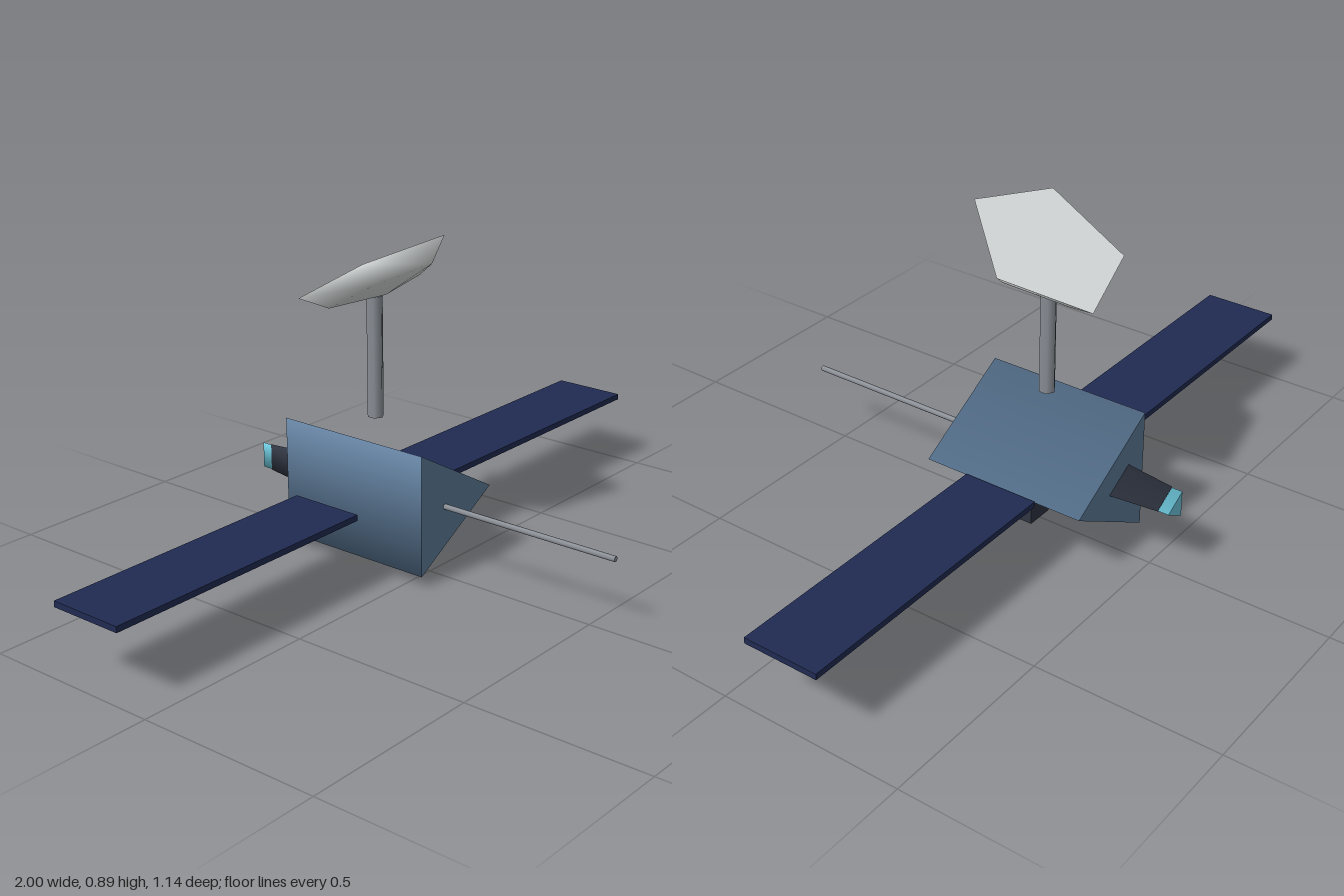
import * as THREE from 'three';

const mat = (name, color) => {
  const m = new THREE.MeshStandardMaterial({ color });
  m.name = name;
  return m;
};

export function createModel() {
  const group = new THREE.Group();
  const hull = mat('hull blue', 0x5f7d9c);
  const navy = mat('panel navy', 0x202b52);
  const white = mat('dish white', 0xdfe3e3);
  const dark = mat('dark slate', 0x2f3542);
  const cyan = mat('glow cyan', 0x6fcbe0);
  const metal = mat('metal grey', 0x8b9097);

  const midY = 0.195, midZ = -0.18;

  const add = (name, geometry, material, x, y, z) => {
    const mesh = new THREE.Mesh(geometry, material);
    mesh.name = name;
    mesh.position.set(x, y, z);
    group.add(mesh);
    return mesh;
  };

  // Cylinder lying along z from zBack to zFront, one corner towards +x
  const along = (name, rFront, rBack, zBack, zFront, sides, material) => {
    const g = new THREE.CylinderGeometry(rFront, rBack, zFront - zBack, sides);
    g.rotateX(Math.PI / 2).rotateZ(Math.PI / 2);
    return add(name, g, material, 0, midY, (zBack + zFront) / 2);
  };

  // Three-sided hull, engine and nose probe
  along('body', 0.19, 0.19, -0.41, 0.05, 3, hull);
  along('engineNozzle', 0.056, 0.043, -0.54, -0.41, 3, dark);
  along('engineGlow', 0.041, 0.041, -0.57, -0.54, 3, cyan);
  along('probe', 0.0075, 0.0075, 0.05, 0.57, 6, metal);

  // Solar panels
  for (const side of [-1, 1]) {
    add(side > 0 ? 'leftSolarPanel' : 'rightSolarPanel',
      new THREE.BoxGeometry(0.804, 0.016, 0.208), navy, side * 0.598, midY, midZ);
  }

  // Instrument box under the hull
  add('instrumentBox', new THREE.BoxGeometry(0.078, 0.08, 0.13), dark, 0, 0.04, -0.1);

  // Mast
  add('mast', new THREE.CylinderGeometry(0.022, 0.022, 0.325, 6), metal, 0, 0.5525, midZ);

  // Tilted five-sided dish: shallow bowl closed by a flat face
  const dish = new THREE.Group();
  dish.name = 'dish';
  dish.position.set(0, 0.787, -0.178);
  dish.rotation.x = -Math.PI / 6;
  const bowlShape = new THREE.SphereGeometry(0.21, 5, 2, 0, Math.PI * 2, Math.PI / 2, Math.PI / 2);
  bowlShape.rotateY(Math.PI).scale(1, 0.35, 1);
  const bowl = new THREE.Mesh(bowlShape, white);
  bowl.name = 'dishBowl';
  const face = new THREE.Mesh(new THREE.CircleGeometry(0.21, 5).rotateX(-Math.PI / 2), white);
  face.name = 'dishFace';
  dish.add(bowl, face);
  group.add(dish);

  return group;
}
